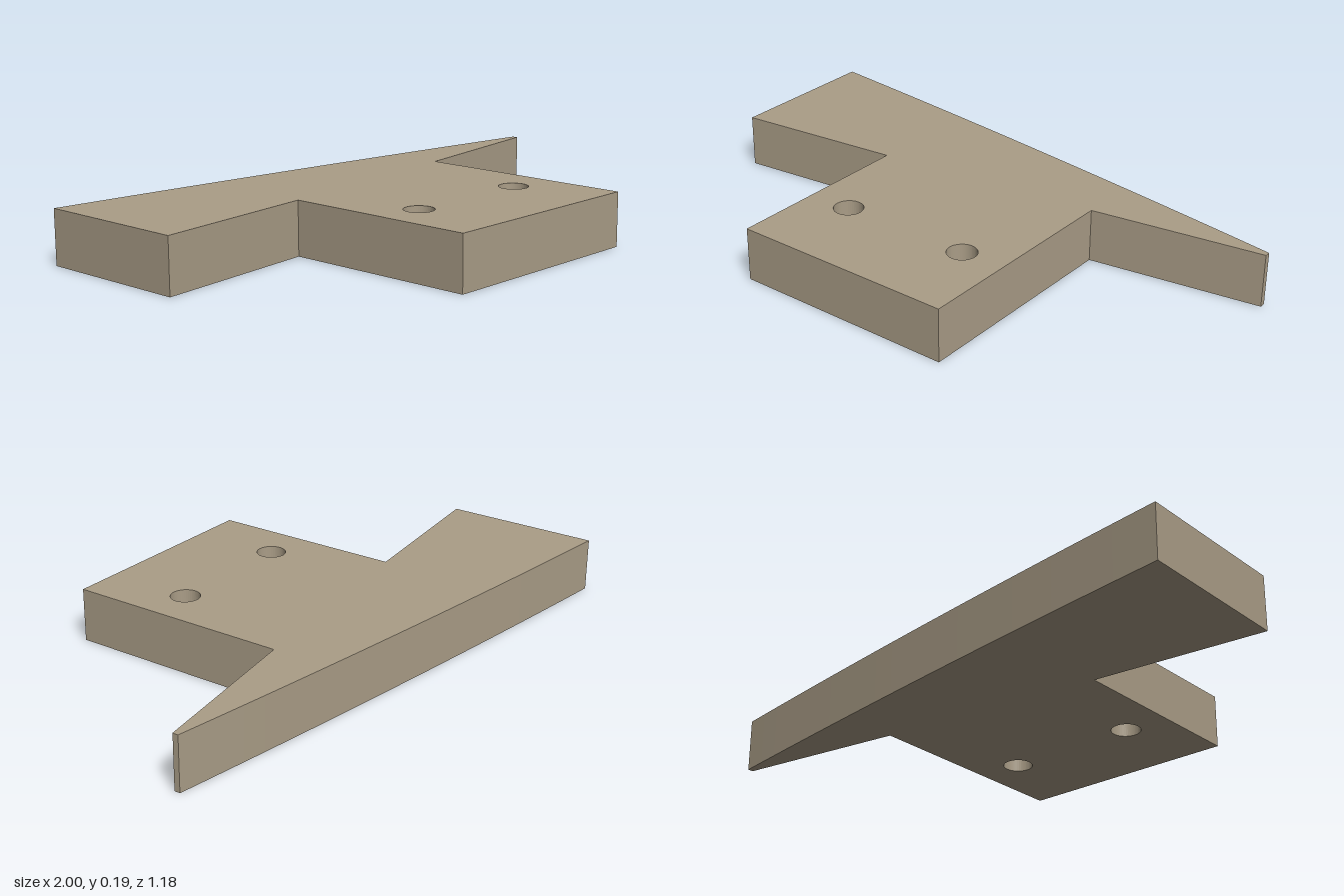
import * as THREE from 'three';

export function createModel() {
  const group = new THREE.Group();
  group.name = 'mountingBlade';
  const tan = new THREE.MeshStandardMaterial({ color: 0xaa9d87 });
  tan.name = 'warm tan';

  // Plan outline, drawn with shape y = -z: tapered blade with a square mounting tab
  const outline = new THREE.Shape();
  outline.moveTo(-1, 0.035);
  outline.lineTo(-0.4, 0.104);
  outline.lineTo(-0.4, -0.59);
  outline.lineTo(0.4, -0.59);
  outline.lineTo(0.4, 0.21);
  outline.lineTo(1, 0.302);
  outline.lineTo(1, 0.322);
  // Gently bowed back edge
  outline.quadraticCurveTo(0, 0.484, -1, 0.59);

  // Pair of bolt holes through the tab
  for (const side of [-1, 1]) {
    const hole = new THREE.Path();
    hole.absarc(side * 0.24, -0.276, 0.051, 0, Math.PI * 2, true);
    outline.holes.push(hole);
  }

  const geometry = new THREE.ExtrudeGeometry(outline, {
    depth: 0.188, bevelEnabled: false, curveSegments: 24,
  });
  geometry.rotateX(-Math.PI / 2);

  const plate = new THREE.Mesh(geometry, tan);
  plate.name = 'taperedPlate';
  group.add(plate);
  return group;
}
